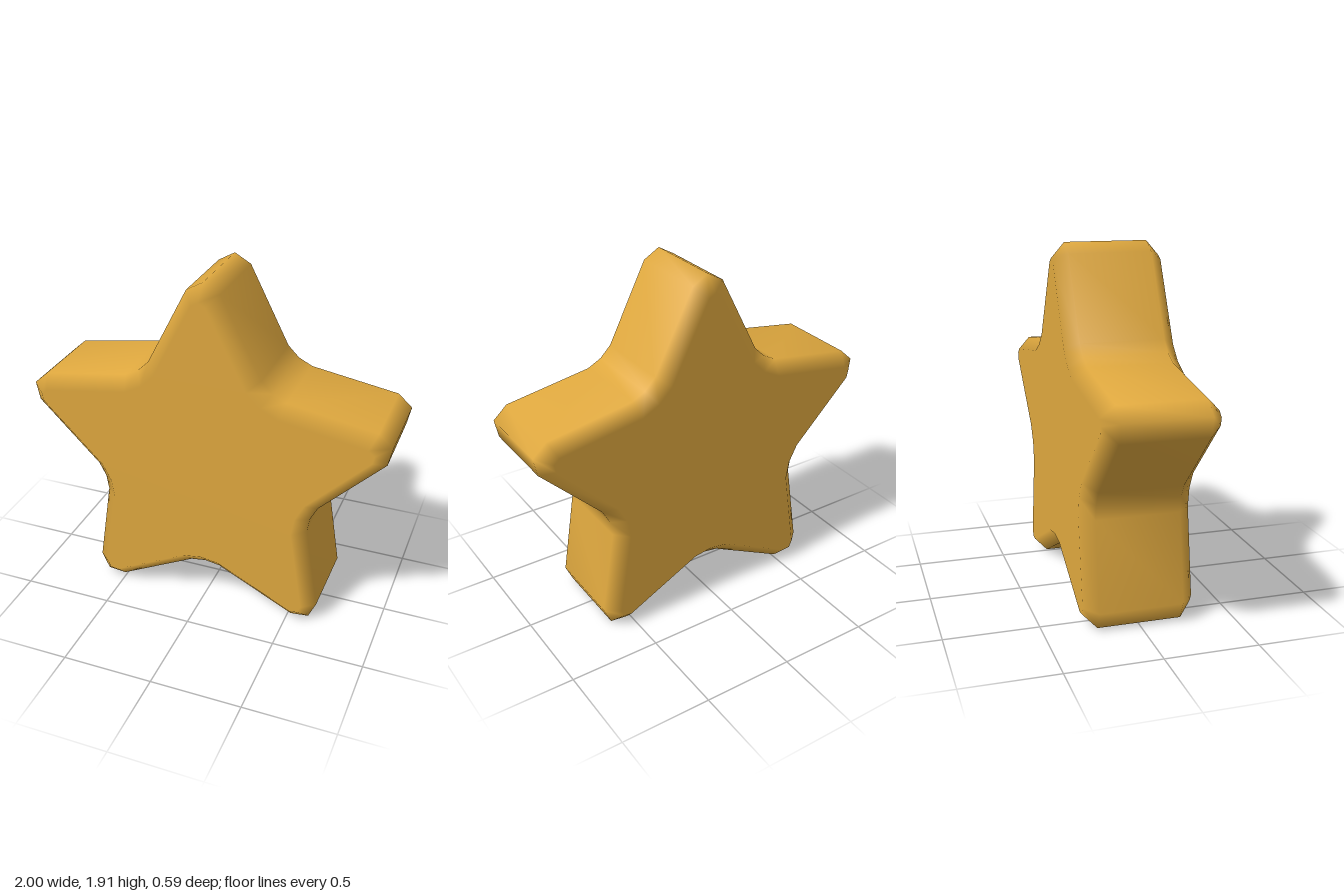
import * as THREE from 'three';

const CENTER_Y = 0.862;
const BEVEL = 0.07;
const HALF_DEPTH = 0.295;

// One arm, counter-clockwise: right flank, blunt tip, left flank, valley
const ARM = [[0.31, 0.57], [0.09, 1.0], [0, 1.0515], [-0.09, 1.0], [-0.31, 0.57], [-0.37, 0.51]];

function starOutline() {
  const points = [];
  const origin = new THREE.Vector2();
  for (let arm = 0; arm < 5; arm++) {
    for (const [x, y] of ARM) {
      points.push(new THREE.Vector2(x, y).rotateAround(origin, arm * Math.PI * 2 / 5));
    }
  }
  return points;
}

// Move every edge inwards by the same distance
function inset(points, distance) {
  const n = points.length;
  const normal = (a, b) => new THREE.Vector2(b.y - a.y, a.x - b.x).normalize();
  return points.map((p, i) => {
    const n1 = normal(points[(i + n - 1) % n], p);
    const n2 = normal(p, points[(i + 1) % n]);
    const scale = distance / (1 + n1.dot(n2));
    return p.clone().addScaledVector(n1.add(n2), -scale);
  });
}

function starGeometry() {
  const outer = starOutline();
  const inner = inset(outer, BEVEL);
  const n = outer.length;

  // Cross-sections from back to front
  const loops = [
    [inner, -HALF_DEPTH], [outer, -HALF_DEPTH + BEVEL],
    [outer, HALF_DEPTH - BEVEL], [inner, HALF_DEPTH],
  ];
  const positions = [];
  for (const [points, z] of loops) for (const p of points) positions.push(p.x, p.y, z);

  // Side and bevel bands
  const index = [];
  for (let k = 0; k < 3; k++) {
    for (let i = 0; i < n; i++) {
      const a = k * n + i, b = k * n + (i + 1) % n;
      index.push(a, b, b + n, a, b + n, a + n);
    }
  }
  // Flat front and back
  for (const [a, b, c] of THREE.ShapeUtils.triangulateShape(inner, [])) {
    index.push(3 * n + a, 3 * n + b, 3 * n + c, a, c, b);
  }

  const geometry = new THREE.BufferGeometry();
  geometry.setAttribute('position', new THREE.Float32BufferAttribute(positions, 3));
  geometry.setIndex(index);
  geometry.computeVertexNormals();
  // Keep the large faces evenly flat while the bevels blend into them
  for (let i = 0; i < n; i++) {
    geometry.attributes.normal.setXYZ(i, 0, 0, -1);
    geometry.attributes.normal.setXYZ(3 * n + i, 0, 0, 1);
  }
  return geometry;
}

export function createModel() {
  const gold = new THREE.MeshStandardMaterial({ color: 0xe0a93f });
  gold.name = 'gold';

  const star = new THREE.Mesh(starGeometry(), gold);
  star.name = 'star';
  star.position.y = CENTER_Y;

  const model = new THREE.Group();
  model.name = 'roundedStar';
  model.add(star);
  return model;
}
